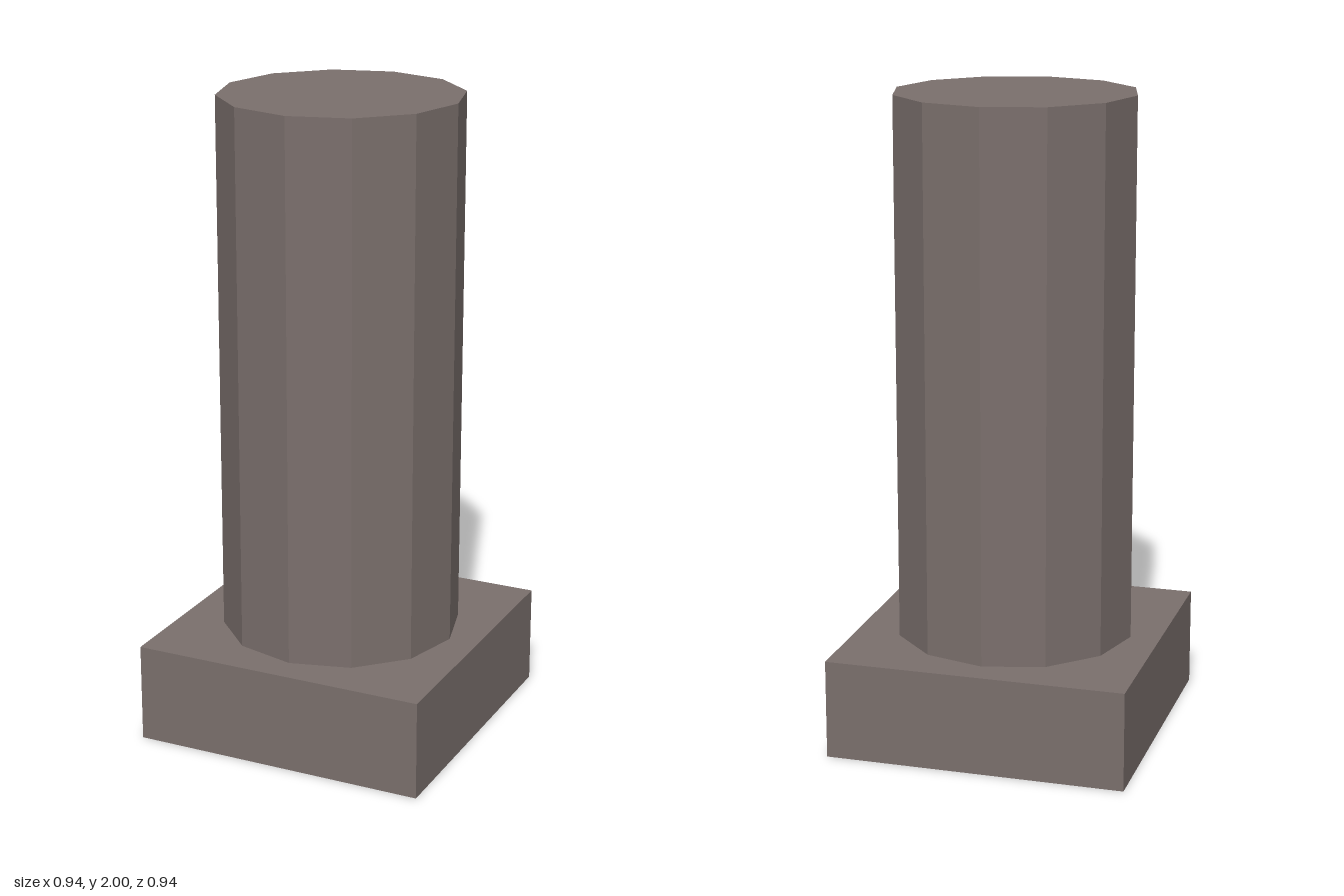
import * as THREE from 'three';

export function createModel() {
  const group = new THREE.Group();
  group.name = 'column';

  const stone = new THREE.MeshStandardMaterial({ color: 0x7a6f6c, flatShading: true });
  stone.name = 'warm grey stone';

  const baseSize = 0.935, baseHeight = 0.31, totalHeight = 2;
  const radius = 0.374, sides = 12;

  // Square base block
  const base = new THREE.Mesh(new THREE.BoxGeometry(baseSize, baseHeight, baseSize), stone);
  base.name = 'base';
  base.position.y = baseHeight / 2;

  // Twelve-sided shaft with corners on the x and z axes
  const shaftHeight = totalHeight - baseHeight;
  const shaft = new THREE.Mesh(new THREE.CylinderGeometry(radius, radius, shaftHeight, sides), stone);
  shaft.name = 'shaft';
  shaft.position.y = baseHeight + shaftHeight / 2;

  group.add(base, shaft);
  return group;
}
